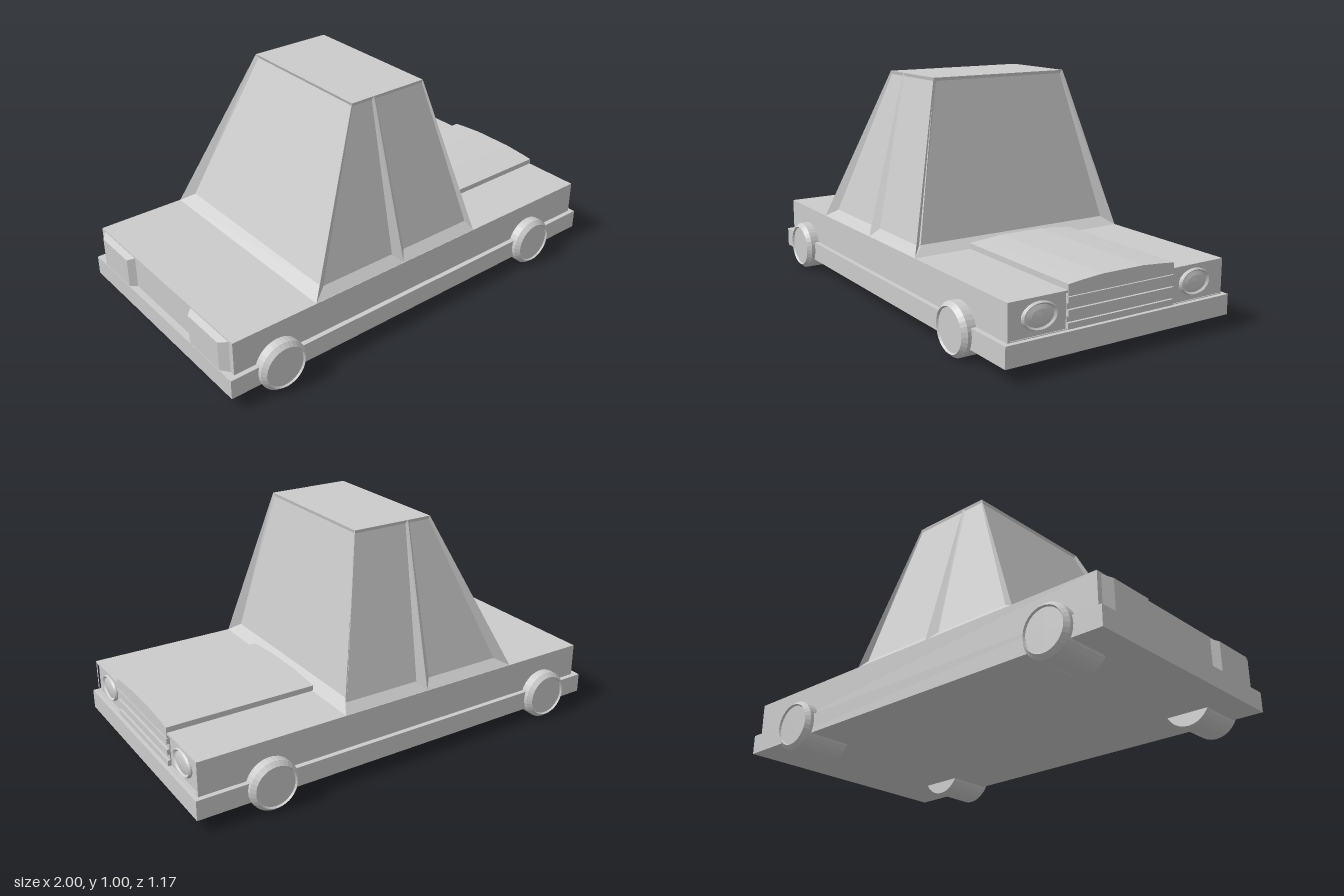
import * as THREE from 'three';

const mat = new THREE.MeshStandardMaterial({ color: 0xcccccc, flatShading: true });
const smooth = new THREE.MeshStandardMaterial({ color: 0xcccccc });

function add(parent, name, geometry, material = mat) {
  const mesh = new THREE.Mesh(geometry, material);
  mesh.name = name;
  parent.add(mesh);
  return mesh;
}

// Box given by its limits on each axis
function box(x0, x1, y0, y1, z0, z1) {
  return new THREE.BoxGeometry(x1 - x0, y1 - y0, z1 - z0)
    .translate((x0 + x1) / 2, (y0 + y1) / 2, (z0 + z1) / 2);
}

// Outline in (z, y), extruded along x from x0 to x1
function slab(points, x0, x1, hole) {
  const toVec = ([z, y]) => new THREE.Vector2(-z, y);
  const shape = new THREE.Shape(points.map(toVec));
  if (hole) shape.holes.push(new THREE.Path(hole.map(toVec)));
  return new THREE.ExtrudeGeometry(shape, { depth: x1 - x0, bevelEnabled: false })
    .rotateY(Math.PI / 2).translate(x0, 0, 0);
}

// Window: outer corners, sunken inner corners, both counter-clockwise from outside
function windowPanel(outer, inner) {
  const pos = [];
  const quad = (a, b, c, d) => pos.push(...a, ...b, ...c, ...a, ...c, ...d);
  quad(...inner);
  for (let i = 0; i < 4; i++) {
    const j = (i + 1) % 4;
    quad(outer[i], outer[j], inner[j], inner[i]);
  }
  const g = new THREE.BufferGeometry();
  g.setAttribute('position', new THREE.Float32BufferAttribute(pos, 3));
  g.computeVertexNormals();
  return g;
}

// Mirror a corner loop across z = 0, keeping its winding
const mirrorZ = (loop) => loop.map(([x, y, z]) => [x, y, -z]).reverse();

function createCabin() {
  const cabin = new THREE.Group();
  cabin.name = 'cabin';
  const yB = 0.298, yS = 0.335, yT = 1.006, yI = 0.992;

  add(cabin, 'windshield', windowPanel(
    [[0.31, yB, 0.525], [0.31, yB, -0.525], [0.145, yT, -0.335], [0.145, yT, 0.335]],
    [[0.265, yS, 0.475], [0.265, yS, -0.475], [0.142, yI, -0.322], [0.142, yI, 0.322]]));
  add(cabin, 'rearWindow', windowPanel(
    [[-0.57, yB, -0.525], [-0.57, yB, 0.525], [-0.235, yT, 0.335], [-0.235, yT, -0.335]],
    [[-0.515, yS, -0.475], [-0.515, yS, 0.475], [-0.23, yI, 0.322], [-0.23, yI, -0.322]]));

  // Side windows meet at the ridge of the middle pillar
  const sides = {
    frontSideWindow: [
      [[-0.105, yB, 0.525], [0.31, yB, 0.525], [0.145, yT, 0.335], [-0.12, yT, 0.335]],
      [[-0.073, yS, 0.488], [0.29, yS, 0.488], [0.143, yI, 0.332], [-0.11, yI, 0.332]]],
    rearSideWindow: [
      [[-0.57, yB, 0.525], [-0.105, yB, 0.525], [-0.12, yT, 0.335], [-0.235, yT, 0.335]],
      [[-0.505, yS, 0.488], [-0.14, yS, 0.488], [-0.13, yI, 0.332], [-0.23, yI, 0.332]]],
  };
  for (const [name, [outer, inner]] of Object.entries(sides)) {
    add(cabin, name + 'Left', windowPanel(outer, inner));
    add(cabin, name + 'Right', windowPanel(mirrorZ(outer), mirrorZ(inner)));
  }
  const roof = new THREE.PlaneGeometry(0.38, 0.67).rotateX(-Math.PI / 2).translate(-0.045, yT, 0);
  add(cabin, 'roof', roof);
  return cabin;
}

function createWheel(x, side) {
  const wheel = new THREE.Group();
  wheel.name = 'wheel';
  // Tyre with chamfered outer edge and a slightly sunken hub
  const profile = [[0, 0.345], [0.11, 0.345], [0.11, 0.565], [0.093, 0.584], [0.088, 0.576], [0, 0.576]];
  const tyre = new THREE.LatheGeometry(profile.map(([r, y]) => new THREE.Vector2(r, y)), 32);
  add(wheel, 'tyre', tyre.rotateX(Math.PI / 2));
  wheel.position.set(x, 0.113, 0);
  if (side < 0) wheel.rotation.y = Math.PI;
  return wheel;
}

function createHeadlight(side) {
  // Oval bezel with a recessed lens
  const profile = [[0.08, -0.02], [0.08, 0.006], [0.074, 0.013], [0.064, 0.006], [0.04, 0.011], [0, 0.014]];
  const g = new THREE.LatheGeometry(profile.map(([r, y]) => new THREE.Vector2(r, y)), 32)
    .rotateZ(-Math.PI / 2).scale(1, 0.69, 1);
  const light = new THREE.Mesh(g, mat);
  light.name = 'headlight';
  light.position.set(0.969, 0.222, side * 0.382);
  return light;
}

export function createModel() {
  const car = new THREE.Group();
  car.name = 'car';

  add(car, 'lowerBody', box(-1, 1, 0.06, 0.147, -0.549, 0.549));
  add(car, 'upperBody', box(-0.97, 0.969, 0.14, 0.298, -0.527, 0.527));

  // Thin raised rim around the nose
  const rect = (z, y0, y1) => [[-z, y0], [z, y0], [z, y1], [-z, y1]];
  add(car, 'noseRim', slab(rect(0.527, 0.14, 0.298), 0.965, 0.98, rect(0.515, 0.15, 0.288)));

  // Gently arched hood
  add(car, 'hood', slab([[-0.26, 0.275], [0.26, 0.275], [0.26, 0.322], [0.2, 0.328], [0.1, 0.336],
    [-0.1, 0.336], [-0.2, 0.328], [-0.26, 0.322]], 0.305, 0.982));

  // Grille with horizontal slats
  const grille = new THREE.Group();
  grille.name = 'grille';
  add(grille, 'grilleBack', box(0.95, 0.973, 0.145, 0.29, -0.26, 0.26));
  for (const y of [0.16, 0.21, 0.26]) {
    add(grille, 'slat', box(0.96, 0.984, y - 0.0125, y + 0.0125, -0.26, 0.26));
  }
  car.add(grille);

  // Tail lights with sloped ends
  const tail = new THREE.Shape([[-0.968, 0.225], [-0.968, 0.505], [-0.998, 0.465], [-0.998, 0.25]]
    .map(([x, z]) => new THREE.Vector2(x, z)));
  for (const side of [1, -1]) {
    const g = new THREE.ExtrudeGeometry(tail, { depth: 0.145, bevelEnabled: false })
      .rotateX(-Math.PI / 2);
    if (side > 0) g.rotateX(Math.PI).translate(0, 0.145, 0);
    // Slope the top edge down toward the back
    const p = g.attributes.position;
    for (let i = 0; i < p.count; i++) {
      if (p.getY(i) > 0.1 && p.getX(i) < -0.98) p.setY(i, 0.133);
    }
    g.computeVertexNormals();
    add(car, 'tailLight', g.translate(0, 0.147, 0));

    car.add(createHeadlight(side));
    for (const x of [-0.765, 0.67]) car.add(createWheel(x, side));
  }

  car.add(createCabin());
  return car;
}
